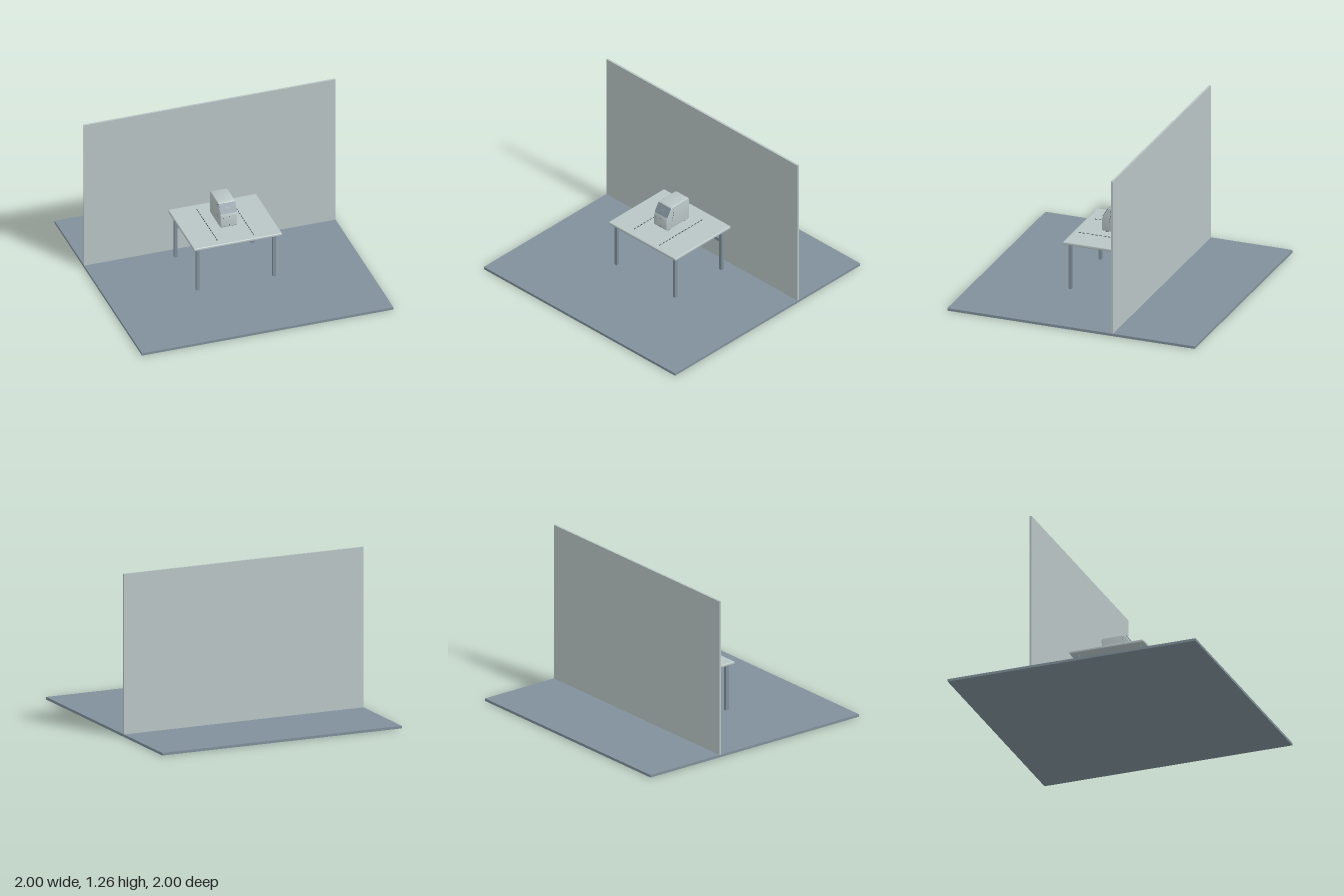
import * as THREE from 'three';
import { toCreasedNormals } from 'three/addons/utils/BufferGeometryUtils.js';
import { RoundedBoxGeometry } from 'three/addons/geometries/RoundedBoxGeometry.js';

const mat = (name, color) => Object.assign(new THREE.MeshStandardMaterial({ color }), { name });

export function createModel() {
  const root = new THREE.Group();
  const pale = mat('pale grey', 0xb9c5c5);
  const slate = mat('slate grey', 0x80909a);
  const dark = mat('dark slate', 0x3f4b54);

  const add = (name, geo, material, x, y, z, parent = root) => {
    const m = new THREE.Mesh(geo, material);
    m.name = name;
    m.position.set(x, y, z);
    parent.add(m);
    return m;
  };
  const box = (name, material, w, h, d, x, y, z, parent) =>
    add(name, new THREE.BoxGeometry(w, h, d), material, x, y, z, parent);

  // Room
  box('floor', slate, 2, 0.02, 2, 0, 0.01, 0);
  box('backWall', pale, 2, 1.24, 0.016, 0, 0.64, -0.331);

  // Table
  const table = new THREE.Group();
  table.name = 'table';
  root.add(table);
  add('tableTop', new RoundedBoxGeometry(0.7, 0.024, 0.6, 3, 0.008), pale, 0, 0.4, 0.025, table);
  for (const x of [-0.308, 0.302])
    for (const z of [-0.222, 0.278])
      box('tableLeg', slate, 0.025, 0.37, 0.025, x, 0.204, z, table);
  box('rearRail', slate, 0.59, 0.028, 0.02, -0.003, 0.286, -0.222, table);

  // Dashed guide lines on the table
  for (const [x, start] of [[-0.145, -0.205], [0.14, -0.185]])
    for (let i = 0; i < 14; i++)
      box('guideDash', dark, 0.005, 0.003, 0.02, x, 0.4135, start + 0.01 + i * 0.0343, table);

  // Device housing: side profile in (z, y), extruded across the width
  const device = new THREE.Group();
  device.name = 'device';
  device.position.x = -0.003;
  root.add(device);
  const profile = new THREE.Shape([
    [-0.112, 0.424], [0.117, 0.424], [0.124, 0.432], [0.124, 0.512], [0.115, 0.537],
    [0.073, 0.605], [0.058, 0.613], [-0.107, 0.613], [-0.117, 0.608], [-0.122, 0.597], [-0.121, 0.434],
  ].map(([z, y]) => new THREE.Vector2(z, y)));
  const bevel = 0.006;
  const body = new THREE.ExtrudeGeometry(profile, {
    depth: 0.134 - 2 * bevel, bevelEnabled: true, bevelSize: bevel,
    bevelOffset: -bevel, bevelThickness: bevel, bevelSegments: 3,
  });
  body.translate(0, 0, -0.067 + bevel).rotateY(-Math.PI / 2);
  add('housing', toCreasedNormals(body, 0.6), pale, 0, 0, 0, device);

  // Sloping display with rounded lower corners
  const w = 0.065, h = 0.041, r = 0.012;
  const panel = new THREE.Shape();
  panel.moveTo(-w, h);
  panel.lineTo(-w, -h + r);
  panel.quadraticCurveTo(-w, -h, -w + r, -h);
  panel.lineTo(w - r, -h);
  panel.quadraticCurveTo(w, -h, w, -h + r);
  panel.lineTo(w, h);
  const display = add('displayPanel',
    new THREE.ExtrudeGeometry(panel, { depth: 0.004, bevelEnabled: false }), slate, 0, 0.571, 0.094, device);
  display.rotation.x = -0.553;
  for (const [x, y] of [[-0.012, 0.004], [0, -0.003], [0.01, 0.004]])
    box('displayMark', pale, 0.007, 0.003, 0.002, x, y, 0.0045, display);

  // Front indicators and latch
  for (const [x, y] of [[-0.045, 0.508], [0.003, 0.512], [0.003, 0.442]])
    box('frontMark', dark, 0.006, 0.005, 0.002, x, y, 0.1245, device);

  // Stitched seams on both sides and slots on the back
  for (const x of [-0.067, 0.067])
    for (let i = 0; i < 8; i++)
      box('sideSeamMark', dark, 0.002, 0.006, 0.003, x, 0.495 + i * 0.0135, 0.06 - i * 0.0017, device);
  for (let i = 0; i < 8; i++)
    box('rearSlot', dark, 0.06, 0.005, 0.003, 0, 0.45 + i * 0.014, -0.1215, device);
  box('rearSocket', slate, 0.018, 0.02, 0.008, 0.038, 0.57, -0.123, device);

  // Feet
  for (const x of [-0.045, 0.045])
    for (const z of [-0.085, 0.085])
      add('foot', new THREE.CylinderGeometry(0.013, 0.013, 0.014, 16), slate, x, 0.418, z, device);

  return root;
}
